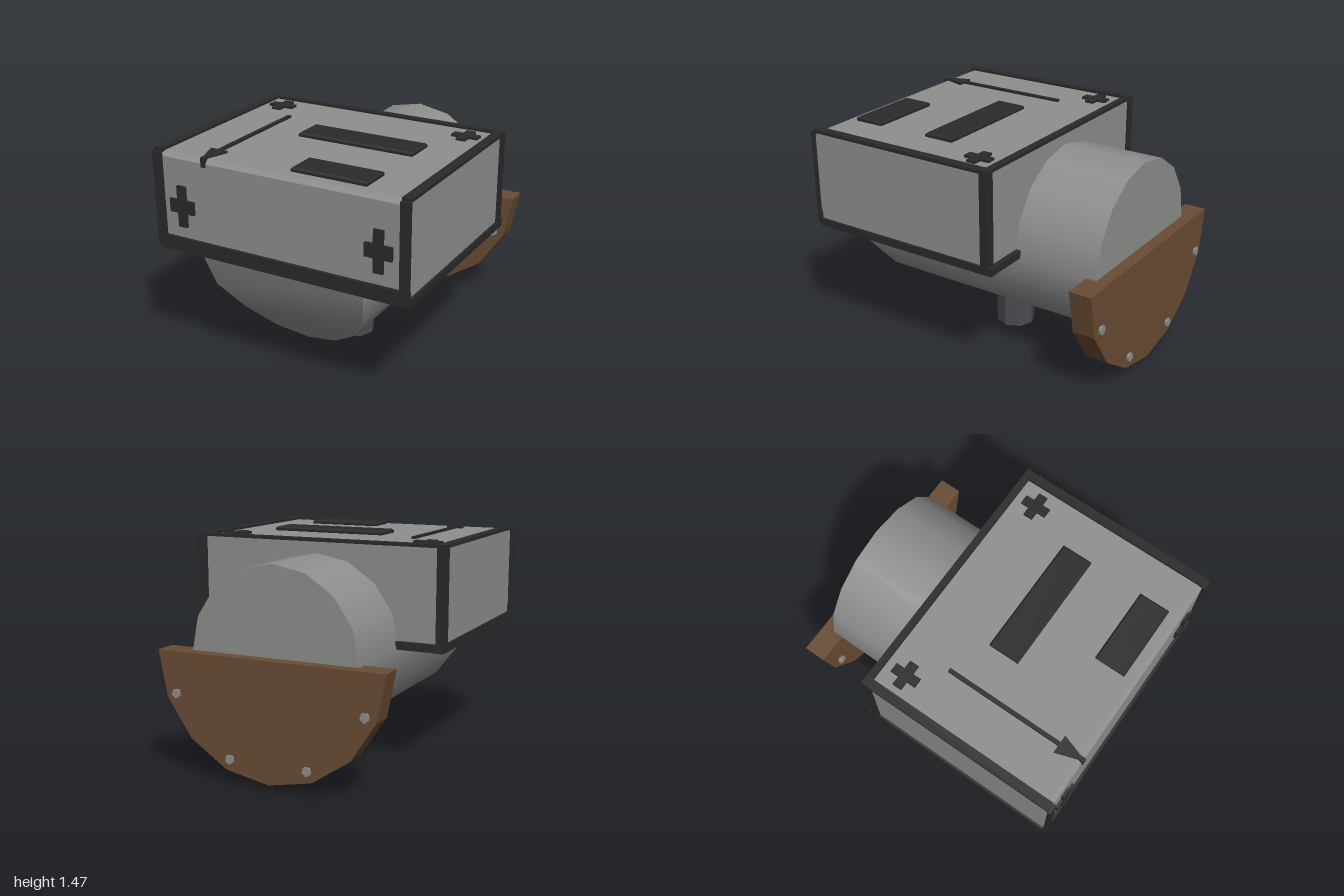
import * as THREE from 'three';

const material = (name, color) => {
  const m = new THREE.MeshStandardMaterial({ color });
  m.name = name;
  return m;
};

export function createModel() {
  const grey = material('metal grey', 0x8e908e);
  const dark = material('trim black', 0x2a2a2a);
  const brown = material('rust brown', 0x6a4c34);
  const slate = material('foot slate', 0x4b4a50);
  const model = new THREE.Group();

  const add = (name, geometry, mat, parent = model) => {
    const mesh = new THREE.Mesh(geometry, mat);
    mesh.name = name;
    parent.add(mesh);
    return mesh;
  };
  // Box given by its minimum and maximum corners
  const block = (name, x0, x1, y0, y1, z0, z1, mat = dark, parent = model) =>
    add(name, new THREE.BoxGeometry(x1 - x0, y1 - y0, z1 - z0)
      .translate((x0 + x1) / 2, (y0 + y1) / 2, (z0 + z1) / 2), mat, parent);
  const polygon = (points) => new THREE.Shape(points.map(([x, y]) => new THREE.Vector2(x, y)));
  const extrude = (shape, depth) => new THREE.ExtrudeGeometry(shape, { depth, bevelEnabled: false });

  // Housing: side profile (z, y) with a chamfered front top edge
  const profile = polygon([[-0.335, 0.81], [0.98, 0.81], [0.98, 1.41], [0.955, 1.438], [-0.335, 1.438]]);
  add('housing', extrude(profile, 1.71).rotateY(-Math.PI / 2).translate(0.855, 0, 0), grey);

  // Dark trim around the housing edges
  const trim = new THREE.Group();
  trim.name = 'housingTrim';
  model.add(trim);
  for (const s of [-1, 1]) {
    const bar = (name, x0, x1, ...rest) =>
      block(name, Math.min(s * x0, s * x1), Math.max(s * x0, s * x1), ...rest, dark, trim);
    bar('frontPost', 0.81, 0.872, 0.82, 1.437, 0.979, 1.0);
    bar('rearPost', 0.81, 0.87, 0.82, 1.455, -0.347, -0.29);
    bar('topSideRail', 0.81, 0.87, 1.433, 1.455, -0.347, 0.98);
    bar('bottomSideRail', 0.81, 0.87, 0.797, 0.848, -0.37, 0.985);
  }
  block('topRearRail', -0.87, 0.87, 1.433, 1.454, -0.346, -0.3, dark, trim);
  block('bottomRearRail', -0.869, 0.869, 0.798, 0.847, -0.369, -0.31, dark, trim);
  block('frontSill', -0.87, 0.87, 0.82, 0.9, 0.97, 0.999, dark, trim);
  block('frontLip', -0.869, 0.869, 0.798, 0.825, 0.925, 0.985, dark, trim);

  // Raised crosses on the front and the top
  const cross = (w, h, a, b) => polygon([
    [-a, -h], [a, -h], [a, -b], [w, -b], [w, b], [a, b],
    [a, h], [-a, h], [-a, b], [-w, b], [-w, -b], [-a, -b]]);
  for (const s of [-1, 1]) {
    add('frontCross', extrude(cross(0.088, 0.133, 0.031, 0.043), 0.02), dark)
      .position.set(s * 0.675, 1.108, 0.978);
    add('topCross', extrude(cross(0.088, 0.088, 0.031, 0.031), 0.018).rotateX(-Math.PI / 2), dark)
      .position.set(s * 0.68, 1.435, -0.16);
  }

  // Arrow on the top, its tip folding over the front edge
  const arrow = polygon([
    [-0.013, -0.03], [-0.013, -0.815], [-0.06, -0.815], [-0.013, -0.955],
    [0.013, -0.955], [0.06, -0.815], [0.013, -0.815], [0.013, -0.03]]);
  add('topArrow', extrude(arrow, 0.018).rotateX(-Math.PI / 2), dark).position.set(-0.505, 1.435, 0);
  block('arrowTip', -0.518, -0.49, 1.39, 1.452, 0.95, 0.99);

  // Raised plates with chamfered rims
  for (const [x0, x1, z0, z1] of [[-0.24, 0.555, 0.135, 0.34], [0.055, 0.555, 0.695, 0.9]]) {
    const c = 0.01;
    const plate = polygon([[x0 + c, -z1 + c], [x1 - c, -z1 + c], [x1 - c, -z0 - c], [x0 + c, -z0 - c]]);
    add('topPlate', new THREE.ExtrudeGeometry(plate, {
      depth: 0.015, bevelThickness: 0.01, bevelSize: c, bevelSegments: 1,
    }).rotateX(-Math.PI / 2), dark).position.y = 1.44;
  }

  // Barrel: a 16-sided tube whose front end is cut back towards the bottom
  const R = 0.565, CY = 0.795, BACK = -0.905;
  const noseZ = (y) => {
    if (y >= CY) return 0.96;
    return y > 0.579
      ? THREE.MathUtils.mapLinear(y, 0.579, CY, 0.89, 0.96)
      : THREE.MathUtils.mapLinear(y, CY - R, 0.579, 0.66, 0.89);
  };
  const barrel = new THREE.CylinderGeometry(R, R, 1, 16, 1, true)
    .rotateX(Math.PI / 2).translate(0, CY, 0);
  const bp = barrel.attributes.position;
  for (let i = 0; i < bp.count; i++) bp.setZ(i, bp.getZ(i) > 0 ? noseZ(bp.getY(i)) : BACK);
  add('barrel', barrel, grey);
  add('barrelBack', new THREE.CircleGeometry(R, 16).rotateY(Math.PI), grey).position.set(0, CY, BACK);

  // Nose: rows of the lower half circle, pushed to the cut profile
  const nose = new THREE.PlaneGeometry(2, 1, 1, 4);
  const np = nose.attributes.position;
  for (let i = 0; i < np.count; i++) {
    const a = (0.5 - np.getY(i)) * Math.PI / 2;
    const y = CY - R * Math.sin(a);
    np.setXYZ(i, np.getX(i) * R * Math.cos(a), y, noseZ(y));
  }
  nose.computeVertexNormals();
  add('barrelNose', nose, grey);

  // Half-round flange with bolts
  const rim = [];
  for (let i = 0; i <= 8; i++) {
    const a = Math.PI + i * Math.PI / 8;
    rim.push([0.765 * Math.cos(a), 0.765 * Math.sin(a)]);
  }
  add('flange', extrude(polygon(rim), 0.148), brown).position.set(0, CY, -0.984);
  for (const s of [-1, 1]) {
    for (const [x, y] of [[0.637, 0.53], [0.263, 0.157]]) {
      add('flangeBolt', new THREE.CylinderGeometry(0.032, 0.032, 0.185, 5).rotateX(Math.PI / 2), grey)
        .position.set(s * x, y, -0.9075);
    }
  }

  // Octagonal foot
  const foot = new THREE.CylinderGeometry(0.13, 0.13, 0.3, 8).toNonIndexed();
  foot.computeVertexNormals();
  add('foot', foot, slate).position.set(0, 0.15, 0.04);

  return model;
}
